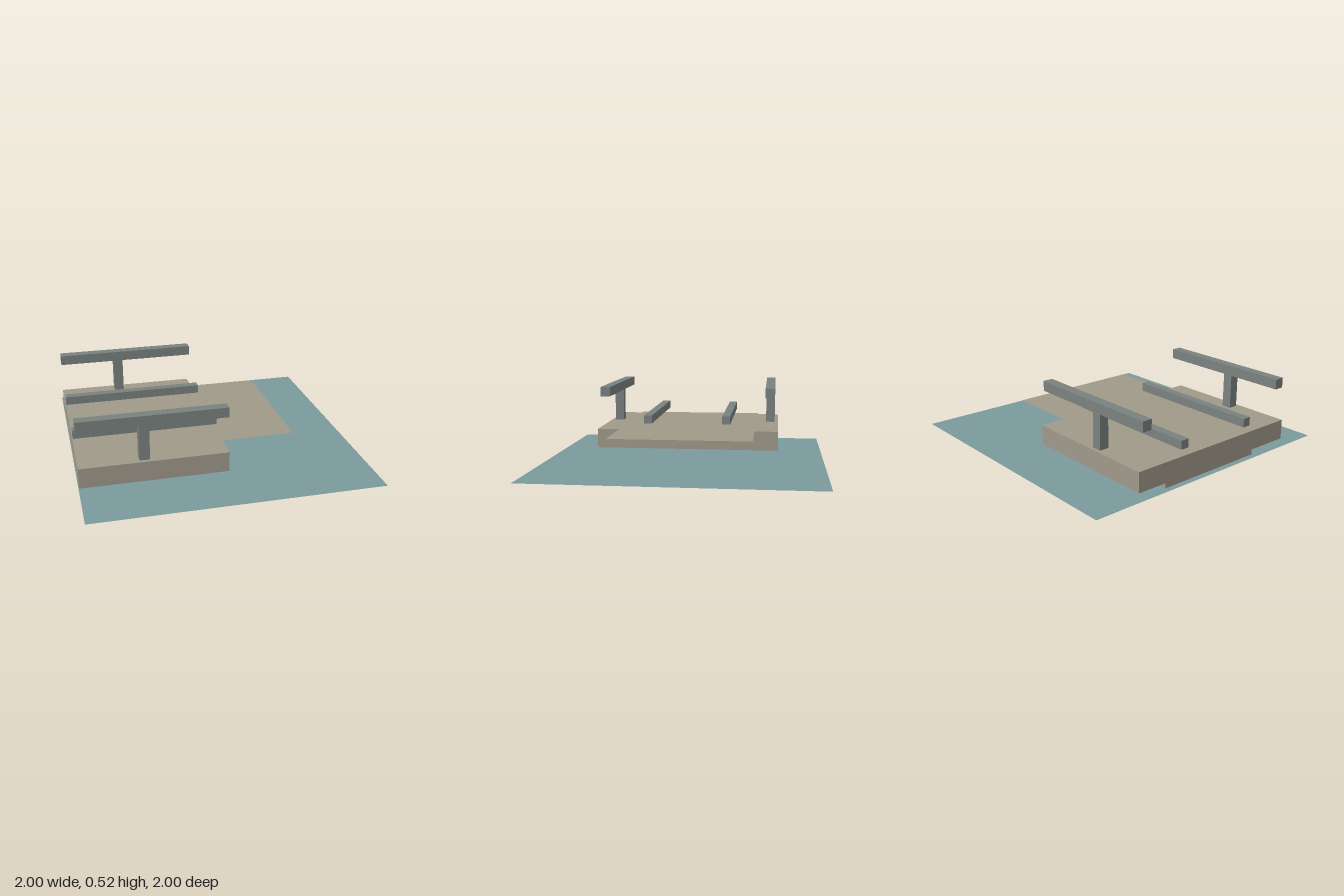
import * as THREE from 'three';

const flat = (name, color) => {
  const m = new THREE.MeshStandardMaterial({ color });
  m.name = name;
  return m;
};

export function createModel() {
  const model = new THREE.Group();
  model.name = 'dock';
  const water = flat('waterTeal', 0x7b999c);
  const stone = flat('deckTaupe', 0xa09a8a);
  const metal = flat('railGrey', 0x7a8280);
  water.side = stone.side = THREE.DoubleSide;

  // Box given by its limits on each axis
  const box = (name, mat, [x0, x1], [y0, y1], [z0, z1]) => {
    const mesh = new THREE.Mesh(new THREE.BoxGeometry(x1 - x0, y1 - y0, z1 - z0), mat);
    mesh.position.set((x0 + x1) / 2, (y0 + y1) / 2, (z0 + z1) / 2);
    mesh.name = name;
    model.add(mesh);
  };

  // Horizontal sheet facing up
  const sheet = (name, mat, [x0, x1], y, halfDepth) => {
    const geo = new THREE.PlaneGeometry(x1 - x0, halfDepth * 2).rotateX(-Math.PI / 2);
    const mesh = new THREE.Mesh(geo, mat);
    mesh.position.set((x0 + x1) / 2, y, 0);
    mesh.name = name;
    model.add(mesh);
  };

  // Ground sheet, deck and the footing beneath it
  sheet('waterSurface', water, [-1, 1], 0, 1);
  box('deck', stone, [-1, 0], [0.065, 0.205], [-0.67, 0.67]);
  box('footing', stone, [-0.96, -0.72], [0.002, 0.065], [-0.41, 0.41]);

  // Thin top sheet that overhangs the deck, with three inlaid strips
  sheet('topSheet', stone, [-1, 0.5], 0.212, 0.5);
  for (const x of [-0.795, -0.48, -0.16]) {
    sheet('deckStrip', stone, [x - 0.07, x + 0.07], 0.215, 0.43);
  }

  // Mirrored railings: outer rail on a post, lower inner rail
  for (const s of [-1, 1]) {
    const span = (a, b) => (s > 0 ? [a, b] : [-b, -a]);
    box('railPost', metal, [-0.6, -0.53], [0.205, 0.485], span(0.576, 0.644));
    box('outerRail', metal, [-1, 0], [0.45, 0.52], span(0.575, 0.645));
    box('innerRail', metal, [-1, 0], [0.252, 0.312], span(0.26, 0.32));
  }

  return model;
}
